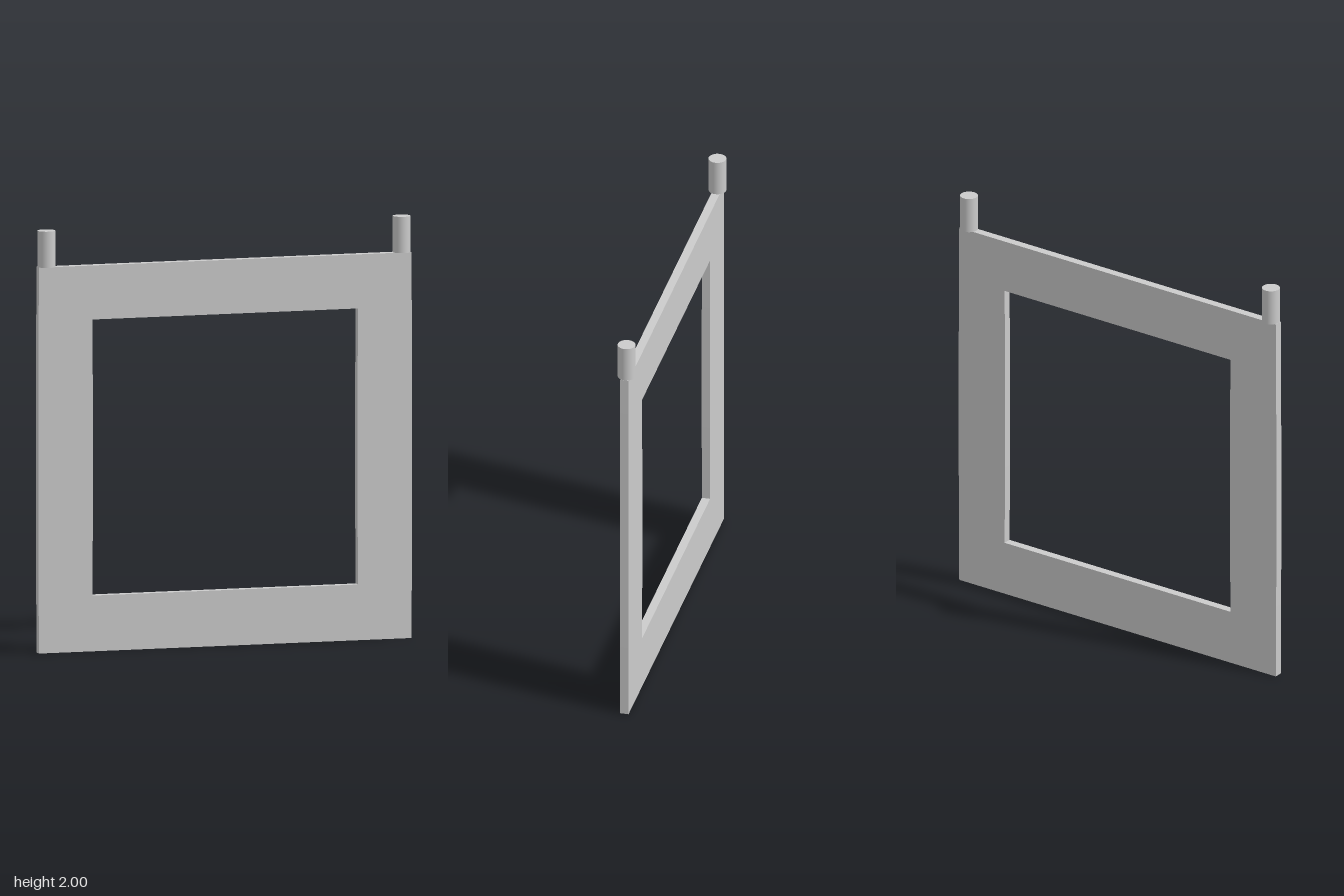
import * as THREE from 'three';

const HALF = 0.912, TOP = 1.828, THICK = 0.04;
const HOLE = 0.651, HOLE_LOW = 0.264, HOLE_HIGH = 1.572;
const BOW = 0.007;

// Rectangle whose upright sides bow very slightly by the given amount
function bowedRect(path, half, low, high, bow) {
  const mid = (low + high) / 2;
  path.moveTo(-half, low);
  path.lineTo(half, low);
  path.quadraticCurveTo(half + bow, mid, half, high);
  path.lineTo(-half, high);
  path.quadraticCurveTo(-half - bow, mid, -half, low);
  return path;
}

export function createModel() {
  const group = new THREE.Group();
  group.name = 'hangingFrame';
  const material = new THREE.MeshStandardMaterial({ color: 0xcccccc });

  // Flat frame with a square opening
  const outline = bowedRect(new THREE.Shape(), HALF, 0, TOP, BOW);
  outline.holes.push(bowedRect(new THREE.Path(), HOLE, HOLE_LOW, HOLE_HIGH, -BOW));
  const frameGeometry = new THREE.ExtrudeGeometry(outline, {
    depth: THICK, bevelEnabled: false, curveSegments: 10,
  });
  frameGeometry.translate(0, 0, -THICK / 2);
  const frame = new THREE.Mesh(frameGeometry, material);
  frame.name = 'frame';
  group.add(frame);

  // Round pegs standing on the two top corners
  const pegHeight = 2 - TOP;
  const pegGeometry = new THREE.CylinderGeometry(0.042, 0.042, pegHeight, 32);
  for (const side of [-1, 1]) {
    const peg = new THREE.Mesh(pegGeometry, material);
    peg.name = side > 0 ? 'leftPeg' : 'rightPeg';
    peg.position.set(side * 0.87, TOP + pegHeight / 2, 0);
    group.add(peg);
  }

  return group;
}
